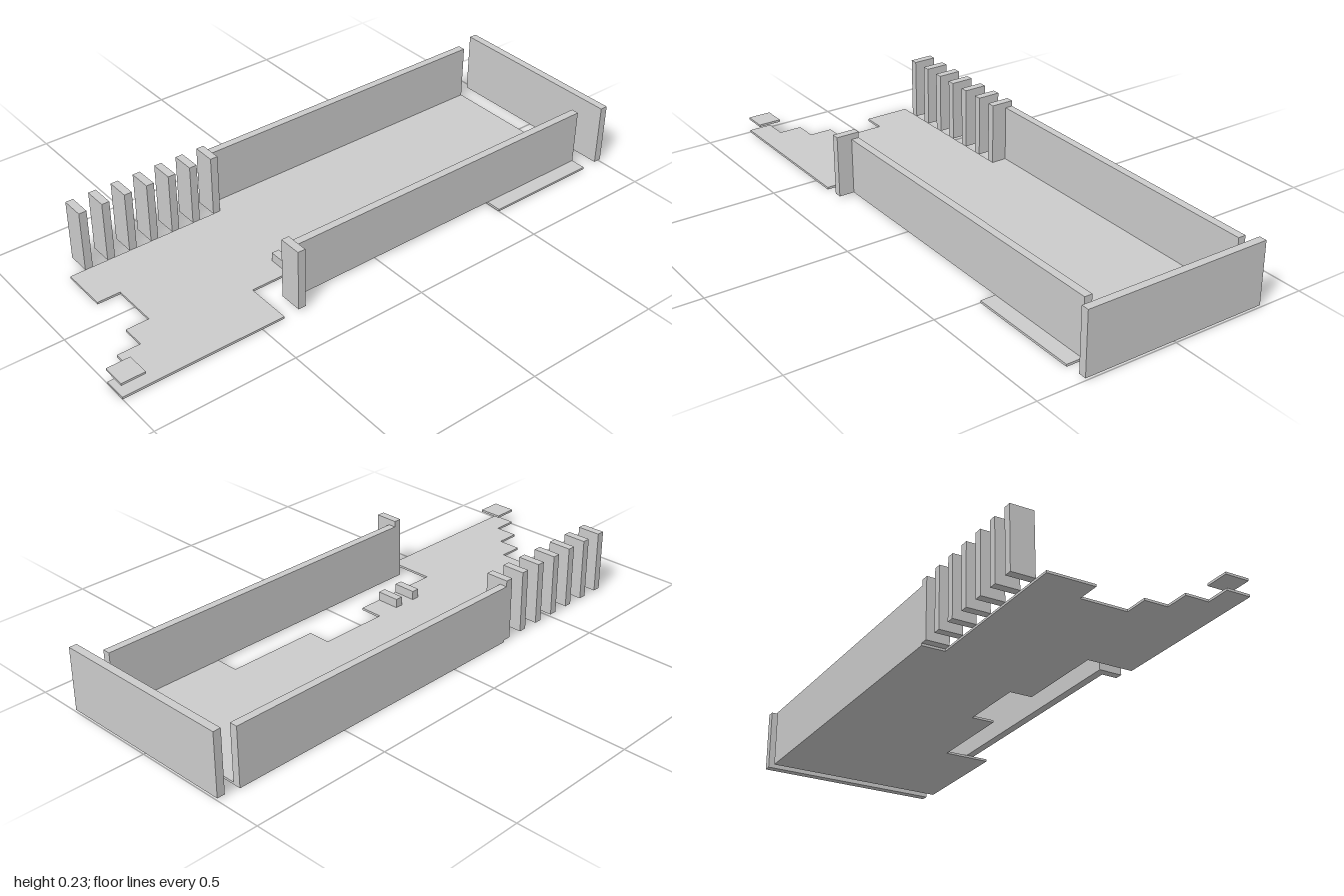
import * as THREE from 'three';

const U = 1 / 12; // plan grid unit
const T = U / 3; // wall thickness
const FLOOR = 0.008;
const WALL_TOP = 0.208;
const POST_TOP = 0.229;

export function createModel() {
  const group = new THREE.Group();
  const material = new THREE.MeshStandardMaterial({ color: 0xcccccc, flatShading: true });

  // box given by its minimum and maximum on each axis
  function block(name, x0, x1, y0, y1, z0, z1) {
    const mesh = new THREE.Mesh(new THREE.BoxGeometry(x1 - x0, y1 - y0, z1 - z0), material);
    mesh.position.set((x0 + x1) / 2, (y0 + y1) / 2, (z0 + z1) / 2);
    mesh.name = name;
    group.add(mesh);
  }

  // stepped floor slab, outline in grid units (x, z)
  const outline = [
    [-4, -11], [4, -11], [4, -6], [2, -6], [2, -2], [1, -2], [1, 1], [2, 1], [2, 5], [4, 5],
    [4, 12], [3, 12], [3, 11], [2, 11], [2, 10], [1, 10], [1, 9], [-1, 9], [-1, 10], [-3, 10],
    [-3, 3], [-4, 3],
  ];
  const shape = new THREE.Shape(outline.map(([x, z]) => new THREE.Vector2(x * U, -z * U)));
  const floorGeometry = new THREE.ExtrudeGeometry(shape, { depth: FLOOR, bevelEnabled: false });
  floorGeometry.rotateX(-Math.PI / 2);
  const floor = new THREE.Mesh(floorGeometry, material);
  floor.name = 'floor';
  group.add(floor);

  // long side walls and the detached back wall
  block('rightWall', -4 * U, -4 * U + T, FLOOR, WALL_TOP, -11 * U, 3 * U);
  block('leftWall', 3 * U, 3 * U + T, FLOOR, WALL_TOP, -11 * U, 4 * U);
  block('backWall', -4 * U, 4 * U, FLOOR, POST_TOP, -1, -1 + T);

  // row of upright fins continuing the right wall
  for (let i = 3; i <= 9; i++) {
    block('rightFin', -4 * U, -3 * U, FLOOR, POST_TOP, i * U, i * U + T);
  }

  // single fin ending the left wall
  block('leftFin', 3 * U, 4 * U, FLOOR, POST_TOP, 4 * U, 4 * U + T);

  // two low ridges on the floor
  for (const i of [2, 3]) {
    block('lowRidge', U, 2 * U, FLOOR, 0.04, i * U, i * U + T);
  }

  // thin plate hovering over the front corner
  block('raisedPlate', 3 * U, 4 * U, 0.052, 0.06, 11 * U, 1);

  return group;
}
